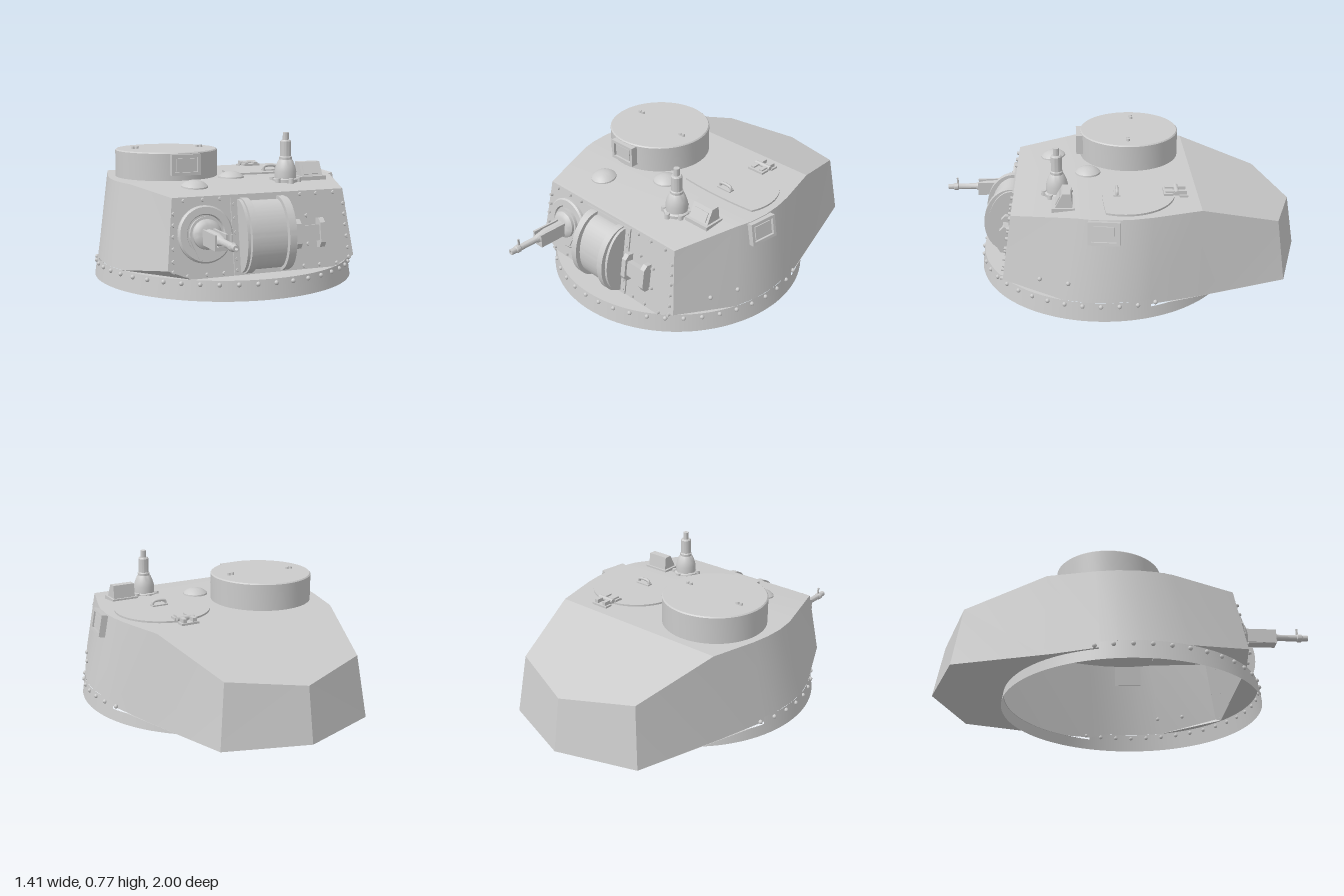
import * as THREE from 'three';
import { toCreasedNormals } from 'three/addons/utils/BufferGeometryUtils.js';

const material = new THREE.MeshStandardMaterial({ color: 0xcccccc });
const shellMaterial = new THREE.MeshStandardMaterial({ color: 0xcccccc, side: THREE.DoubleSide });

function add(parent, name, geometry, x = 0, y = 0, z = 0, mat = material) {
  const mesh = new THREE.Mesh(geometry, mat);
  mesh.name = name;
  mesh.position.set(x, y, z);
  parent.add(mesh);
  return mesh;
}
const box = (parent, name, w, h, d, x, y, z) => add(parent, name, new THREE.BoxGeometry(w, h, d), x, y, z);
const lathe = (pts, seg = 40) =>
  toCreasedNormals(new THREE.LatheGeometry(pts.map(p => new THREE.Vector2(...p)), seg), 0.6);
const extrude = (shape, depth) =>
  toCreasedNormals(new THREE.ExtrudeGeometry(shape, { depth, bevelEnabled: false, curveSegments: 32 }), 0.5);
const flat = shape => new THREE.ShapeGeometry(shape, 48).rotateX(-Math.PI / 2);

// Vision port: bevelled frame around a recessed slab, facing +z
function visionPort(parent, name, w, h) {
  const g = new THREE.Group();
  g.name = name;
  const t = 0.016;
  box(g, 'portPlate', w, h, 0.03, 0, 0, -0.006);
  for (const s of [-1, 1]) {
    box(g, 'portFrameSide', t, h, 0.02, s * (w - t) / 2, 0, 0.014);
    box(g, 'portFrameBar', w - 2 * t, t, 0.02, 0, s * (h - t) / 2, 0.014);
  }
  box(g, 'portGlass', w * 0.66, h * 0.6, 0.012, 0, 0, 0.012);
  parent.add(g);
  return g;
}

// Armour shell from matching lower and upper outlines of one half, front to back
function shellGeometry() {
  const low = [[.51, .15, .635], [.647, .1, .32], [.68, .1, .2], [.69, .1, .08], [.68, .1, -.04],
    [.66, .07, -.12], [.574, .06, -.39], [.43, .06, -.857], [0, .06, -1]];
  const top = [[.468, .495, .58], [.578, .527, .25], [.6, .527, .17], [.612, .527, .06], [.607, .527, -.04],
    [.59, .527, -.14], [.525, .527, -.39], [.388, .39, -.815], [0, .345, -.95]];
  const v = [];
  const mir = p => [-p[0], p[1], p[2]];
  const tri = (a, b, c) => v.push(...a, ...b, ...c);
  const both = (a, b, c) => { tri(a, b, c); tri(mir(c), mir(b), mir(a)); };
  for (let i = 0; i < low.length - 1; i++) {
    both(low[i], low[i + 1], top[i + 1]);
    both(low[i], top[i + 1], top[i]);
    tri(mir(top[i]), top[i], top[i + 1]);
    if (i < low.length - 2) tri(mir(top[i]), top[i + 1], mir(top[i + 1]));
  }
  // front plate and the small corner facets above the ring
  const c = [.39, .1, .643];
  both(c, low[1], low[0]);
  tri(mir(c), c, low[0]);
  tri(mir(c), low[0], mir(low[0]));
  tri(mir(low[0]), low[0], top[0]);
  tri(mir(low[0]), top[0], mir(top[0]));
  const g = new THREE.BufferGeometry();
  g.setAttribute('position', new THREE.Float32BufferAttribute(v, 3));
  return toCreasedNormals(g, 0.3);
}

function createRing(root) {
  add(root, 'turretRing', new THREE.CylinderGeometry(0.69, 0.705, 0.1, 72, 1, true, -1.87, 3.74), 0, .05, .08, shellMaterial);
  add(root, 'turretRingRear', new THREE.CylinderGeometry(0.696, 0.705, 0.06, 48, 1, true, 1.87, Math.PI * 2 - 3.74), 0, .03, .08, shellMaterial);
  // shelf in front of the front plate
  const shelf = new THREE.Shape();
  shelf.absarc(0, -.08, .69, -.355, Math.PI + .355, true);
  shelf.lineTo(-.39, -.643);
  shelf.lineTo(.39, -.643);
  add(root, 'ringShelf', flat(shelf), 0, .1, 0, shellMaterial);
  // bustle floor with the ring opening cut out
  const floor = new THREE.Shape();
  floor.moveTo(.66, .12);
  floor.lineTo(.43, .857);
  floor.lineTo(0, 1);
  floor.lineTo(-.43, .857);
  floor.absarc(0, -.08, .692, Math.PI - .294, .294, true);
  add(root, 'bustleFloor', flat(floor), 0, .06, 0, shellMaterial);
  for (let i = -14; i <= 14; i++) {
    const a = i * 0.136;
    add(root, 'ringRivet', new THREE.SphereGeometry(.012, 8, 6), .695 * Math.sin(a), .08, .08 + .695 * Math.cos(a));
  }
}

function createFrontPlate(root) {
  const g = new THREE.Group();
  g.name = 'frontPlateFittings';
  g.position.set(0, .3, .611);
  g.rotation.x = -0.158;
  root.add(g);

  // rivets around the plate edge and the central panel
  const spots = [];
  for (const s of [-1, 1]) {
    for (const x of [.22, .31, .41]) spots.push([s * x, .18], [s * x, -.185]);
    for (const y of [.12, .065, .01, -.05, -.11, -.16]) spots.push([s * (.472 - y * .06), y]);
    for (const y of [.15, .08, .01, -.06, -.12, -.175]) spots.push([s * .15, y]);
  }
  spots.push([.25, .07], [.25, -.075], [.345, .04], [.345, -.075]);
  for (const [x, y] of spots)
    add(g, 'plateRivet', new THREE.CylinderGeometry(.009, .011, .014, 6).rotateX(Math.PI / 2), x, y, .007);

  // central mantlet: curved cheeks with a recessed curved shield
  box(g, 'mantletPanel', .333, .385, .008, 0, -.008, .004);
  const bulge = (rz, ry, w, name, x) => {
    const s = new THREE.Shape();
    s.absellipse(0, 0, rz, ry, -Math.PI / 2, Math.PI / 2, false);
    add(g, name, extrude(s, w).rotateY(-Math.PI / 2).translate(w / 2, 0, 0), x, -.008, .004);
  };
  for (const s of [-1, 1]) {
    bulge(.138, .188, .036, 'mantletCheek', s * .1);
    bulge(.115, .182, .018, 'mantletCheekStep', s * .124);
  }
  bulge(.112, .172, .168, 'mantletShield', 0);

  // ball mount of the machine gun
  const m = new THREE.Group();
  m.name = 'ballMount';
  m.position.set(-.31, .012, 0);
  g.add(m);
  const disc = pts => lathe(pts).rotateX(Math.PI / 2);
  add(m, 'mountRing', disc([[.142, 0], [.142, .014], [.134, .022], [.1, .022], [.095, .012], [0, .012]]));
  const collar = new THREE.Shape();
  collar.absarc(0, 0, .086, -.4, Math.PI + .4, false);
  collar.lineTo(-.045, -.12);
  collar.quadraticCurveTo(0, -.138, .045, -.12);
  add(m, 'mountCollar', extrude(collar, .028));
  add(m, 'mountBall', disc([[.074, .02], [.074, .042], [.06, .055], [.045, .06], [0, .06]]));

  // sight block: two plates joined by a bar
  box(g, 'sightBar', .13, .08, .03, .25, -.02, .022);
  for (const x of [.181, .315]) {
    const s = new THREE.Shape();
    s.moveTo(0, -.075); s.lineTo(.03, -.075); s.lineTo(.05, -.05);
    s.lineTo(.05, .05); s.lineTo(.03, .075); s.lineTo(0, .075);
    add(g, 'sightPlate', extrude(s, .028).rotateY(-Math.PI / 2).translate(.014, 0, 0), x, -.02, 0);
  }
}

function createGun(root) {
  const gun = new THREE.Group();
  gun.name = 'machineGun';
  gun.position.set(-.31, .315, 0);
  root.add(gun);
  const along = pts => lathe(pts, 20).rotateX(Math.PI / 2);
  add(gun, 'barrel', along([[.032, .6], [.032, .77], [.022, .83], [.017, .84], [.017, .94], [.021, .945],
    [.021, .965], [.016, .97], [.016, 1], [.008, 1], [.008, .97]]));
  for (const s of [-1, 1]) box(gun, 'gunCradleSide', .012, .075, .16, s * .028, -.005, .745);
  box(gun, 'gunCradleFloor', .06, .02, .16, 0, -.035, .745);
  box(gun, 'frontSight', .008, .04, .01, 0, .035, .945);
}

function createRoof(root) {
  // cupola with front port and paired bolts
  const cupola = new THREE.Group();
  cupola.name = 'cupola';
  cupola.position.set(-.277, .52, -.062);
  root.add(cupola);
  add(cupola, 'cupolaDrum', lathe([[.28, 0], [.28, .15], [.274, .156], [0, .156]], 64));
  visionPort(cupola, 'cupolaPort', .16, .11).position.set(.008, .092, .28);
  for (const [x, z] of [[-.185, -.022], [-.163, -.022], [.175, .014], [.197, .014]])
    add(cupola, 'cupolaBolt', new THREE.CylinderGeometry(.009, .011, .014, 10), x, .162, z);

  // ventilator domes
  for (const [x, y, z, tilt] of [[-.275, .512, .375, .097], [.01, .525, .18, 0]]) {
    const dome = add(root, 'roofDome', lathe([[.07, 0], [.068, .01], [.052, .024], [.03, .033], [0, .037]], 32), x, y, z);
    dome.rotation.x = tilt;
  }

  // crew hatch with handle and hinge
  const lid = new THREE.Shape();
  lid.absarc(0, 0, .257, -.44, Math.PI + .44, false);
  lid.quadraticCurveTo(0, -.135, .2325, -.1095);
  add(root, 'hatchLid', extrude(lid, .014).rotateX(-Math.PI / 2), .313, .523, -.012);
  box(root, 'hatchHandleBase', .09, .008, .036, .31, .54, .033);
  const grip = new THREE.CatmullRomCurve3([[-.038, 0], [-.034, .02], [.034, .02], [.038, 0]].map(p => new THREE.Vector3(...p, 0)));
  add(root, 'hatchHandle', new THREE.TubeGeometry(grip, 16, .008, 8), .31, .54, .033);
  box(root, 'hingeLeaf', .1, .012, .05, .31, .543, -.235);
  box(root, 'hingeLeafRear', .1, .012, .045, .31, .532, -.315);
  for (const s of [-1, 1]) box(root, 'hingeArm', .022, .024, .11, .31 + s * .028, .546, -.275);
  add(root, 'hingePin', new THREE.CylinderGeometry(.013, .013, .1, 12).rotateZ(Math.PI / 2), .31, .55, -.278);

  // antenna mount with bolted flange
  const mast = new THREE.Group();
  mast.name = 'antennaMount';
  mast.position.set(.255, .51, .345);
  root.add(mast);
  add(mast, 'mastBody', lathe([[.068, 0], [.068, .018], [.058, .024], [.058, .06], [.052, .085], [.04, .115], [.034, .122],
    [.034, .135], [.029, .14], [.029, .218], [.024, .225], [.016, .225], [.016, .265], [0, .265]], 28));
  for (let i = 0; i < 6; i++) {
    const a = i * Math.PI / 3;
    add(mast, 'flangeBolt', new THREE.CylinderGeometry(.013, .016, .03, 10), .07 * Math.sin(a), .012, .07 * Math.cos(a));
  }

  // periscope housing with sloping face
  box(root, 'periscopeBase', .15, .025, .118, .412, .524, .312);
  const hood = new THREE.Shape();
  hood.moveTo(.262, .52); hood.lineTo(.362, .52); hood.lineTo(.315, .61); hood.lineTo(.272, .61);
  add(root, 'periscopeHood', extrude(hood, .125).rotateY(-Math.PI / 2), .475, 0, 0);
  const glass = box(root, 'periscopeGlass', .095, .05, .008, .412, .568, .338);
  glass.rotation.x = -.48;
}

export function createModel() {
  const root = new THREE.Group();
  root.name = 'turret';
  add(root, 'armourShell', shellGeometry(), 0, 0, 0, shellMaterial);
  createRing(root);
  createFrontPlate(root);
  createGun(root);
  createRoof(root);

  // fittings on the left wall
  const port = visionPort(root, 'sidePort', .16, .12);
  port.position.set(.623, .465, .11);
  port.rotation.set(0, Math.PI / 2 - .12, 0);
  port.rotateX(-.18);
  for (const [x, z] of [[.583, .44], [.638, .295]])
    add(root, 'sideRivet', new THREE.SphereGeometry(.012, 8, 6), x, .19, z);
  return root;
}
